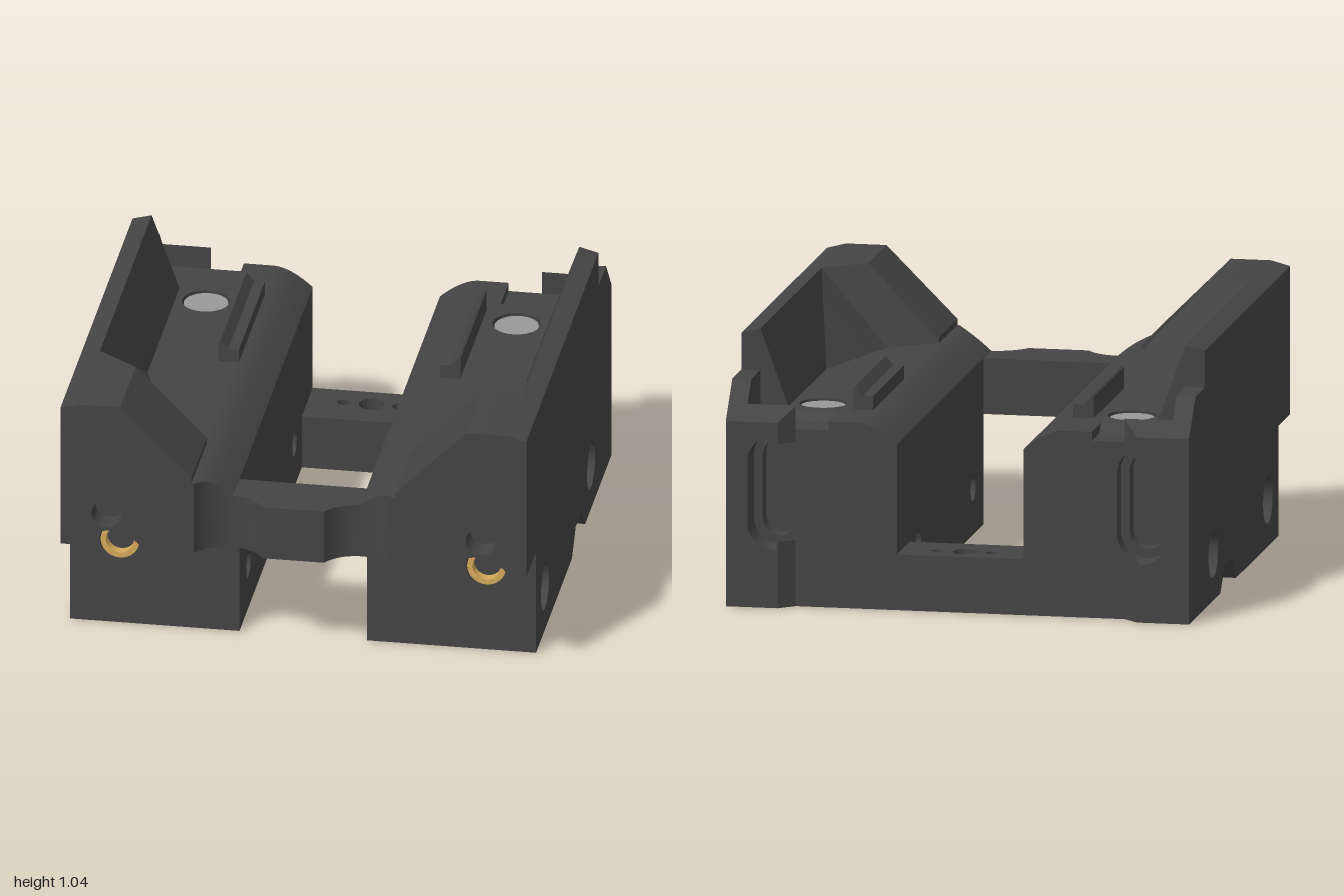
import * as THREE from 'three';
import { toCreasedNormals } from 'three/addons/utils/BufferGeometryUtils.js';
import { ConvexGeometry } from 'three/addons/geometries/ConvexGeometry.js';

const dark = new THREE.MeshStandardMaterial({ color: 0x444444 });
const steel = new THREE.MeshStandardMaterial({ color: 0x999999 });
const brass = new THREE.MeshStandardMaterial({ color: 0xd4a95a, side: THREE.DoubleSide });

const FLOOR = 0.735; // trough floor height

const poly = (pts) => new THREE.Shape(pts.map(([x, y]) => new THREE.Vector2(x, y)));
const circle = (x, y, r) => new THREE.Path().absarc(x, y, r, 0, Math.PI * 2, true);
// Upright slot outline
function slot(x, y0, y1, r) {
  const p = new THREE.Path();
  p.absarc(x, y1, r, 0, Math.PI, false);
  p.absarc(x, y0, r, Math.PI, Math.PI * 2, false);
  p.closePath();
  return p;
}
function moveVertices(geo, rule) {
  const p = geo.attributes.position, v = new THREE.Vector3();
  for (let i = 0; i < p.count; i++) {
    rule(v.fromBufferAttribute(p, i));
    p.setXYZ(i, v.x, v.y, v.z);
  }
}
function part(name, geo, material = dark) {
  const mesh = new THREE.Mesh(toCreasedNormals(geo, 0.5), material);
  mesh.name = name;
  return mesh;
}
// Extrude a shape between a and b: along z (x,y), along y (x,-z) or along x (-z,y)
function extrude(name, shape, axis, a, b, holes = [], rule = null) {
  shape.holes.push(...holes);
  const geo = new THREE.ExtrudeGeometry(shape, { depth: b - a, bevelEnabled: false, curveSegments: 24 });
  geo.translate(0, 0, a);
  if (axis === 'y') geo.rotateX(-Math.PI / 2);
  if (axis === 'x') geo.rotateY(Math.PI / 2);
  if (rule) moveVertices(geo, rule);
  return part(name, geo);
}
const hull = (name, pts) => part(name, new ConvexGeometry(pts.map((p) => new THREE.Vector3(...p))));
// Threaded insert: a ring lathed around y
function insert(name, x, y, z, r) {
  const pts = [[r * 0.72, -0.04], [r, -0.04], [r, 0], [r * 0.72, 0], [r * 0.72, -0.04]];
  const m = part(name, new THREE.LatheGeometry(pts.map(([a, b]) => new THREE.Vector2(a, b)), 32), brass);
  m.position.set(x, y, z);
  return m;
}

// Rounded top of the inner rail
const railTop = (x) => (x <= 0.2501 ? 0.655 : 0.735 - 0.08 * (Math.max(0, 0.4 - x) / 0.15) ** 1.7);
const railCurve = () => Array.from({ length: 9 }, (_, i) => {
  const x = 0.4 - (0.15 * i) / 8;
  return [x, railTop(x)];
});
// Front edge of the bridge, with a round bite
const biteZ = (x) => Math.min(1, 1.074 - Math.sqrt(Math.max(0, 0.154 ** 2 - (x - 0.255) ** 2)));
// Sloping top of the rear outer corner
const rearSlope = (v) => { v.y = Math.min(v.y, 0.875 - 1.1 * Math.max(0, -0.87 - v.z)); };

function frontWall(arch) {
  const s = new THREE.Shape();
  s.moveTo(0.4, 0.435);
  if (arch) {
    s.lineTo(0.593, 0.435);
    const a = Math.atan2(0.08, 0.127);
    s.absarc(0.72, 0.355, 0.15, Math.PI - a, a, true);
  }
  [[0.915, 0.435], [0.915, 1.02], [0.84, 1.04], [0.68, 1.04], [0.4, 0.76]].forEach(([x, y]) => s.lineTo(x, y));
  return s;
}

function rearProfile(pocket) {
  const mid = pocket ? [[0.84, 0.7], [0.52, 0.7], [0.52, FLOOR]] : [[0.84, FLOOR]];
  return poly([[0.25, 0.22], [0.915, 0.22], [0.915, 0.875], [0.84, 0.875], ...mid, ...railCurve()]);
}

function buildSide() {
  const g = new THREE.Group();

  // Lower block with underside notch and cross holes
  const lower = () => poly([[-0.67, 0], [0.07, 0], [0.16, 0.095], [0.29, 0.095], [0.38, 0], [0.69, 0], [0.69, 0.435], [-0.67, 0.435]]);
  const cross = (r) => [circle(-0.56, 0.185, r), circle(0.52, 0.185, r)];
  g.add(extrude('lowerBlock', lower(), 'x', 0.25, 0.82, cross(0.052)));
  g.add(extrude('lowerBlockCounterbore', lower(), 'x', 0.82, 0.915, cross(0.095)));
  g.add(extrude('lowerFront', poly([[0.25, 0], [0.915, 0], [0.915, 0.435], [0.25, 0.435]]), 'z', 0.67, 0.77,
    [circle(0.72, 0.355, 0.08)]));

  // Upper trough with tall outer wall
  g.add(extrude('trough', poly([[0.25, 0.435], [0.915, 0.435], [0.915, 1.02], [0.84, 1.04], [0.73, FLOOR], [0.73, 0.705],
    [0.4, 0.705], ...railCurve()]), 'z', -0.69, 0.64));
  g.add(extrude('railFront', poly([[0.25, 0.435], [0.4, 0.435], ...railCurve()]), 'z', 0.64, 0.77));
  g.add(extrude('troughFloor', poly([[0.4, -0.64], [0.73, -0.64], [0.73, 0.69], [0.4, 0.69]]), 'y', 0.705, FLOOR,
    [circle(0.61, 0.595, 0.094)]));

  // Faceted closing of the trough: a side facet and an end slope
  const A = [0.73, FLOOR, 0.06], B = [0.58, FLOOR, 0.51], C = [0.4, FLOOR, 0.64], G = [0.73, FLOOR, 0.64];
  const D = [0.68, 1.04, 0.64], E = [0.84, 1.04, 0.52], F = [0.84, 1.04, 0.64];
  g.add(hull('troughSideFacet', [A, B, E, F, G]));
  g.add(hull('troughEndSlope', [B, C, D, E, F, G]));
  g.add(extrude('guideRidge', poly([[0.395, 0.72], [0.475, 0.72], [0.475, 0.82], [0.467, 0.825], [0.437, 0.79], [0.395, 0.79]]),
    'z', -0.69, -0.08));

  // Magnet disc in the floor
  const disc = part('magnetDisc', new THREE.CylinderGeometry(0.086, 0.086, 0.03, 40), steel);
  disc.position.set(0.61, 0.712, -0.595);
  g.add(disc);

  // Front overhang with arched relief and bolt hole
  g.add(extrude('frontWallInner', frontWall(false), 'z', 0.64, 0.77));
  g.add(extrude('frontWallMiddle', frontWall(true), 'z', 0.77, 0.9));
  g.add(extrude('frontWallFace', frontWall(true), 'z', 0.9, 1, [circle(0.735, 0.575, 0.058)]));

  // Half of the front bridge
  const bridge = new THREE.BoxGeometry(0.4, 0.22, 0.23, 40, 1, 1).translate(0.2, 0.545, 0.885);
  moveVertices(bridge, (v) => {
    if (v.y > 0.5) v.y = railTop(v.x);
    if (v.z > 0.9) v.z = biteZ(v.x);
  });
  g.add(part('frontBridge', bridge));

  // Rear block with stepped slot, top pocket and protruding corner
  g.add(extrude('rearBlock', rearProfile(false), 'z', -0.76, -0.69));
  g.add(extrude('rearBlockPocketSlope', rearProfile(true), 'z', -0.8, -0.76, [], (v) => {
    if (v.z > -0.77 && v.y > 0.699) v.y = v.x > 0.5 ? Math.max(v.y, FLOOR) : v.y;
  }));
  g.add(extrude('rearBlockPocket', rearProfile(true), 'z', -0.87, -0.8, [slot(0.725, 0.335, 0.575, 0.07)]));
  g.add(extrude('rearBlockFace', rearProfile(true), 'z', -0.945, -0.87, [slot(0.725, 0.335, 0.575, 0.105)], rearSlope));
  const c = poly([[0.65, 0.22], [0.915, 0.22], [0.915, 0.875], [0.65, 0.875]]);
  c.absarc(0.725, 0.575, 0.105, 2.366, 0, true);
  c.absarc(0.725, 0.335, 0.105, 0, -2.366, true);
  g.add(extrude('rearCorner', c, 'z', -1, -0.945, [], (v) => {
    rearSlope(v);
    if (v.z < -0.99) v.x = Math.max(v.x, 0.71);
  }));

  // Brass inserts
  const front = insert('frontInsert', 0.72, 0.355, 0.77, 0.076);
  front.rotation.x = Math.PI / 2;
  const under = insert('undersideInsert', 0.76, 0.09, -0.225, 0.05);
  under.rotation.x = Math.PI;
  g.add(front, under);
  return g;
}

export function createModel() {
  const model = new THREE.Group();
  model.name = 'carriage';
  const left = buildSide();
  left.name = 'leftSide';
  const right = buildSide();
  right.name = 'rightSide';
  right.scale.x = -1;
  model.add(left, right);

  // Rear base plate joining both sides
  const plan = () => poly([[-0.915, 0.69], [0.915, 0.69], [0.915, 1], [0.71, 1], [0.65, 0.945],
    [-0.65, 0.945], [-0.71, 1], [-0.915, 1]]);
  const nutSlot = (x) => slot(x, 0.81, 0.87, 0.065);
  model.add(extrude('rearPlateBottom', plan(), 'y', 0, 0.12, [circle(0, 0.84, 0.055), nutSlot(0.56), nutSlot(-0.56)]));
  model.add(extrude('rearPlateTop', plan(), 'y', 0.12, 0.22,
    [circle(0, 0.84, 0.05), circle(0.108, 0.84, 0.026), circle(-0.108, 0.84, 0.026)]));
  const centre = insert('rearInsert', 0, -0.002, -0.84, 0.066);
  centre.rotation.x = Math.PI;
  model.add(centre);
  return model;
}
